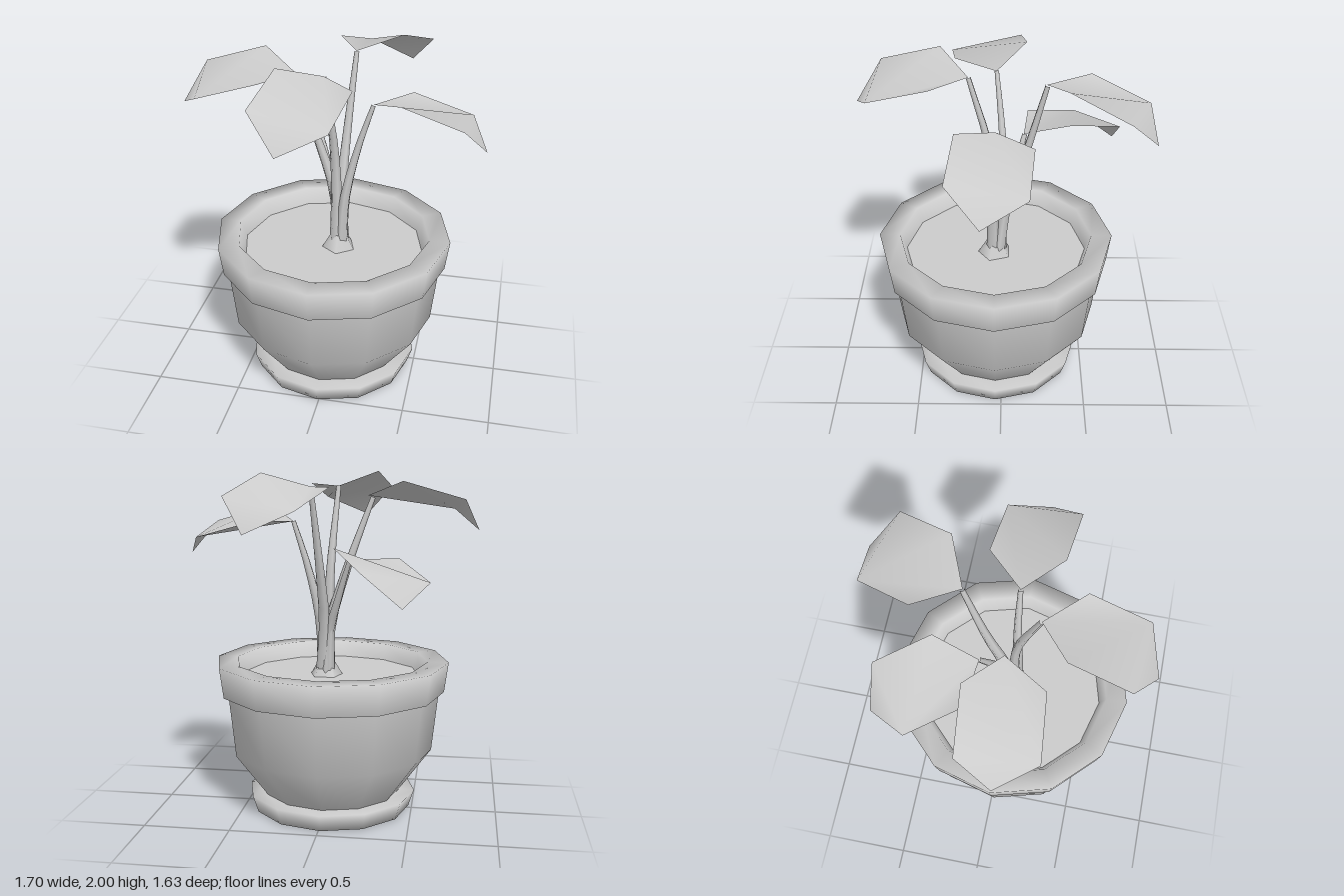
import * as THREE from 'three';

const grey = new THREE.MeshStandardMaterial({ color: 0xcccccc });
const thin = new THREE.MeshStandardMaterial({ color: 0xcccccc, side: THREE.DoubleSide });

function part(name, geometry, material = grey) {
  const mesh = new THREE.Mesh(geometry, material);
  mesh.name = name;
  return mesh;
}

// Twelve-sided turned shape; profile runs from bottom to top as [radius, height]
function turned(name, profile) {
  return part(name, new THREE.LatheGeometry(profile.map(p => new THREE.Vector2(...p)), 12), thin);
}

// One creased leaf: base at the origin, growing along +z
function leafGeometry() {
  const g = new THREE.BufferGeometry();
  g.setAttribute('position', new THREE.Float32BufferAttribute([
    0, 0, 0, // base
    -0.19, 0.085, 0.196, // inner pair
    0.226, 0.01, 0.17,
    -0.19, -0.014, 0.541, // outer pair
    0.232, -0.085, 0.514,
    0, -0.195, 0.638, // tip
  ], 3));
  g.setIndex([0, 4, 2, 0, 1, 4, 1, 3, 4, 3, 5, 4]);
  g.computeVertexNormals();
  return g;
}

// Tube that narrows from r0 to r1
function taperedTube(points, r0, r1, segments = 8, sides = 6) {
  const curve = new THREE.CatmullRomCurve3(points);
  const g = new THREE.TubeGeometry(curve, segments, 1, sides);
  const pos = g.attributes.position;
  const v = new THREE.Vector3();
  for (let i = 0; i < pos.count; i++) {
    const t = Math.floor(i / (sides + 1)) / segments;
    const c = curve.getPointAt(t);
    v.fromBufferAttribute(pos, i).sub(c).multiplyScalar(r0 + (r1 - r0) * t).add(c);
    pos.setXYZ(i, v.x, v.y, v.z);
  }
  return g;
}

export function createModel() {
  const model = new THREE.Group();
  model.name = 'pottedPlant';

  // Pot, rim, saucer and soil share one axis
  const pot = new THREE.Group();
  pot.name = 'pot';
  pot.position.set(-0.01, 0, 0.036);
  pot.add(
    turned('saucer', [[0, 0], [0.47, 0], [0.503, 0.1], [0.4, 0.1]]),
    turned('potBody', [[0.41, 0.1], [0.6, 0.36], [0.638, 0.716]]),
    turned('potRim', [[0.638, 0.716], [0.668, 0.716], [0.692, 0.895], [0.57, 0.895], [0.53, 0.79]]),
  );
  const soil = part('soil', new THREE.CircleGeometry(0.54, 12).rotateX(-Math.PI / 2));
  soil.position.y = 0.8;
  pot.add(soil);
  model.add(pot);

  // Flared foot where the stems meet the soil
  const foot = part('stemFoot', new THREE.CylinderGeometry(0.045, 0.105, 0.1, 5));
  foot.position.set(0.025, 0.84, 0.04);
  model.add(foot);

  // Each arm: stem way points from the soil up, leaf base, leaf heading in x and z, extra droop
  const arms = [
    { name: 'right', path: [[0.01, 0.8, 0.015], [-0.005, 1.1, -0.005], [-0.09, 1.4, -0.01], [-0.18, 1.66, 0.01], [-0.25, 1.85, 0.03]], base: [-0.22, 1.86, 0.03], heading: [-0.64, 0.057], droop: 0 },
    { name: 'left', path: [[0.04, 0.8, 0.05], [0.06, 1.12, 0.05], [0.13, 1.44, 0.035], [0.215, 1.71, 0.03]], base: [0.215, 1.71, 0.03], heading: [0.64, 0.07], droop: 0 },
    { name: 'front', path: [[0.01, 0.8, 0.05], [0.01, 1.13, 0.04], [0, 1.45, 0.06], [-0.03, 1.91, 0.18]], base: [-0.03, 1.91, 0.18], heading: [-0.107, 0.63], droop: 0 },
    { name: 'backLeft', path: [[0.045, 0.8, 0.02], [0.025, 1.12, -0.025], [0.035, 1.43, -0.12], [0.067, 1.91, -0.245]], base: [0.067, 1.915, -0.24], heading: [0.252, -0.577], droop: 0.045 },
    { name: 'backRight', path: [[0.02, 0.8, 0.01], [0, 1.06, -0.005], [-0.06, 1.27, -0.065], [-0.137, 1.51, -0.13]], base: [-0.137, 1.51, -0.125], heading: [-0.339, -0.554], droop: 0 },
  ];
  const leaf = leafGeometry();
  for (const { name, path, base, heading, droop } of arms) {
    const points = path.map(p => new THREE.Vector3(...p));
    model.add(part(name + 'Stem', taperedTube(points, 0.04, 0.014)));
    const blade = part(name + 'Leaf', leaf, thin);
    blade.position.set(...base);
    blade.rotation.set(droop, Math.atan2(heading[0], heading[1]), 0, 'YXZ');
    model.add(blade);
  }
  return model;
}
